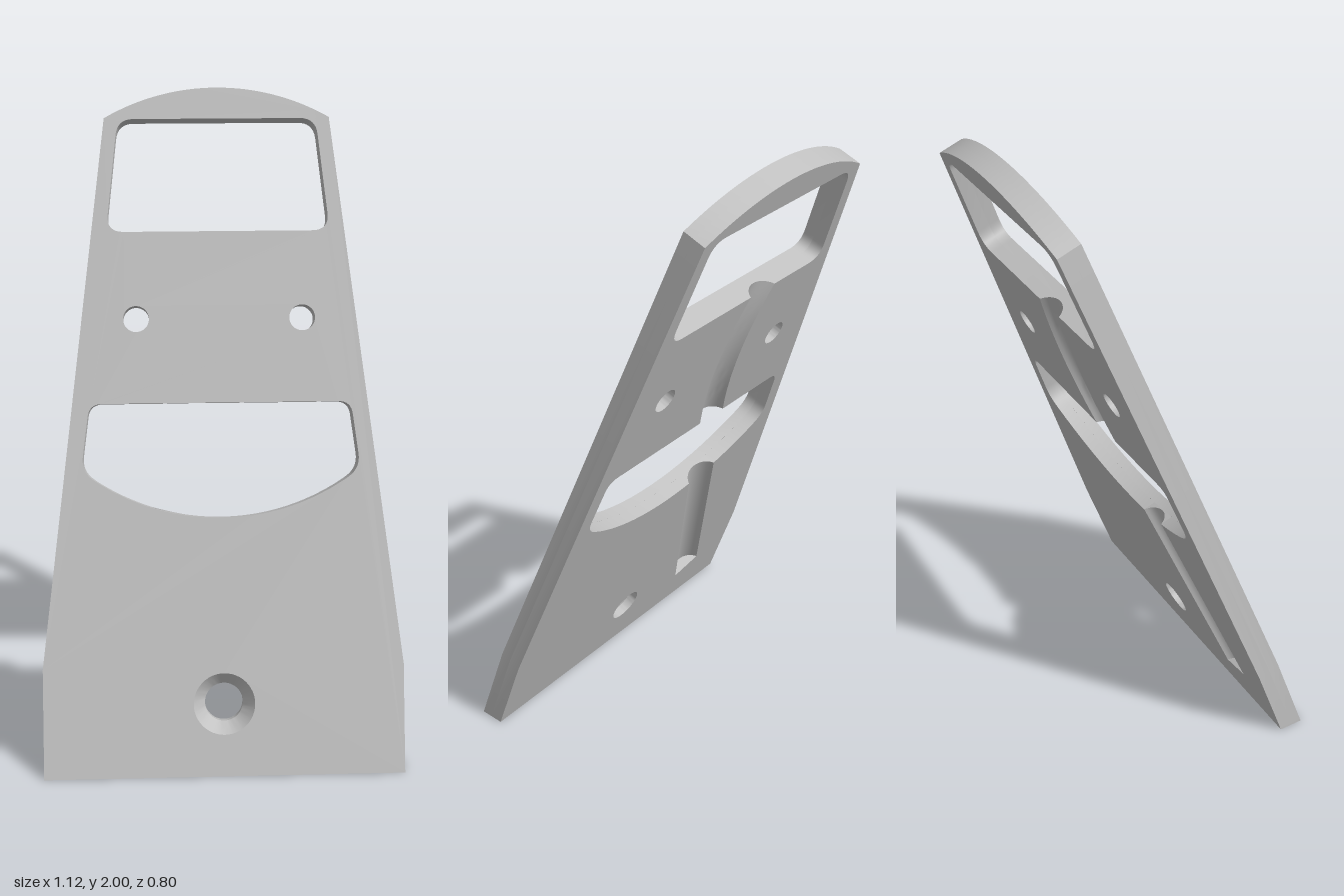
import * as THREE from 'three';
import { toCreasedNormals } from 'three/addons/utils/BufferGeometryUtils.js';

const TILT = THREE.MathUtils.degToRad(20);
const COS = Math.cos(TILT), TAN = Math.tan(TILT);
const T = 0.075;      // plate thickness
const BACK = 0.04;    // thickness of the grooved rear layer
const DEPTH = 0.037;  // groove depth
const HALF = 0.056;   // groove half width
const R = 0.7;        // radius of the top edge and of the lower window sill

const P = (x, y) => new THREE.Vector2(x, y);
const bow = (x) => R - Math.sqrt(R * R - x * x);

// Heights measured along the sloping plate
const V = { bend: 0.318 / COS, peak: 2 / COS, upTop: 1.91 / COS, upBot: 1.583 / COS,
  lowTop: 1.085 / COS, sill: 0.75 / COS, screw: 1.33 / COS, bolt: 0.21 / COS };
const sillY = (x) => V.sill + bow(x);

function sillPoints(x0, x1) {
  const out = [];
  for (let i = 0; i <= 16; i++) {
    const x = x0 + (x1 - x0) * i / 16;
    out.push([x, sillY(x)]);
  }
  return out;
}

// Corner list [x, y, radius] to points; corners with a radius are rounded
function rounded(list) {
  const out = [];
  list.forEach(([x, y, r], i) => {
    const c = P(x, y);
    if (!r) { out.push(c); return; }
    const a = list[(i + list.length - 1) % list.length], b = list[(i + 1) % list.length];
    const toward = (q) => {
      const d = P(q[0] - x, q[1] - y), len = d.length();
      return c.clone().addScaledVector(d, Math.min(r, len * 0.8) / len);
    };
    out.push(...new THREE.QuadraticBezierCurve(toward(a), c, toward(b)).getPoints(8));
  });
  return out;
}

// Groove paths as pairs of edge points [left, right], top to bottom
function upperGroove() {
  const rows = [];
  for (let i = 0; i <= 16; i++) {
    const u = i / 8 - 1;
    const x = -0.068 + 0.04 * (1 - u * u);
    const y = V.upBot + (V.lowTop - V.upBot) * i / 16;
    rows.push([P(x - HALF, y), P(x + HALF, y)]);
  }
  return rows;
}
function lowerGroove() {
  const top = P(-0.163, sillY(-0.163)), end = P(-0.352, 0.175);
  const d = end.clone().sub(top).normalize();
  const side = P(d.y, -d.x).multiplyScalar(HALF);
  const w = HALF / Math.abs(d.y);
  return [
    [P(top.x - w, sillY(top.x - w)), P(top.x + w, sillY(top.x + w))],
    [end.clone().add(side), end.clone().sub(side)],
  ];
}

// Concave groove bed swept through the edge pairs, with end walls down to the floor
function grooveBed(rows) {
  const N = 14, pos = [], index = [];
  const rad = (HALF * HALF + DEPTH * DEPTH) / (2 * DEPTH);
  const half = Math.asin(HALF / rad);
  const section = ([l, r], flat) => {
    const start = pos.length / 3;
    for (let k = 0; k <= N; k++) {
      const a = half * (2 * k / N - 1);
      const p = l.clone().lerp(r, (rad * Math.sin(a) / HALF + 1) / 2);
      pos.push(p.x, p.y, flat ? -T + BACK : -T + rad * Math.cos(a) - (rad - DEPTH));
    }
    return start;
  };
  const strip = (a, b) => {
    for (let k = 0; k < N; k++) index.push(a + k, a + k + 1, b + k, a + k + 1, b + k + 1, b + k);
  };
  const starts = rows.map((r) => section(r, false));
  for (let i = 1; i < starts.length; i++) strip(starts[i], starts[i - 1]);
  strip(starts[0], section(rows[0], true));
  const last = rows.length - 1;
  strip(section(rows[last], true), starts[last]);
  const g = new THREE.BufferGeometry();
  g.setAttribute('position', new THREE.Float32BufferAttribute(pos, 3));
  g.setIndex(index);
  return toCreasedNormals(g, 0.6);
}

// One layer of the plate, its foot trimmed level with the ground
function layer(windows, z, depth) {
  const pts = [P(-0.558, 0), P(0.558, 0), P(0.558, V.bend)];
  for (let i = 0; i <= 32; i++) {
    const x = 0.348 - 0.696 * i / 32;
    pts.push(P(x, V.peak - bow(x)));
  }
  pts.push(P(-0.558, V.bend));
  const shape = new THREE.Shape(pts);
  windows.forEach((w) => shape.holes.push(new THREE.Path(w)));
  for (const [x, y, r] of [[-0.257, V.screw, 0.04], [0.257, V.screw, 0.04], [0, V.bolt, 0.095]]) {
    shape.holes.push(new THREE.Path().absarc(x, y, r, 0, Math.PI * 2, true));
  }
  const g = new THREE.ExtrudeGeometry(shape, { depth, bevelEnabled: false, curveSegments: 24 });
  g.translate(0, 0, z);
  const p = g.attributes.position;
  for (let i = 0; i < p.count; i++) if (p.getY(i) < 0.001) p.setY(i, -p.getZ(i) * TAN);
  return toCreasedNormals(g, 0.5);
}

export function createModel() {
  const grey = new THREE.MeshStandardMaterial({ color: 0xc0c0c0, side: THREE.DoubleSide });
  grey.name = 'light grey';
  const model = new THREE.Group();
  model.name = 'slopingPlate';
  const add = (name, geometry) => {
    const m = new THREE.Mesh(geometry, grey);
    m.name = name;
    model.add(m);
    return m;
  };

  // Window outlines, counter-clockwise
  const upper = [[0.346, V.upBot, 0.055], [0.307, V.upTop, 0.05],
    [-0.307, V.upTop, 0.05], [-0.346, V.upBot, 0.055]];
  const lowLeft = [[-0.405, V.lowTop, 0.04], [-0.432, sillY(-0.432), 0.045]];
  const lowRight = [[0.432, sillY(0.432), 0.045], [0.405, V.lowTop, 0.04]];

  add('frontLayer', layer([
    rounded(upper),
    rounded([...lowLeft, ...sillPoints(-0.385, 0.385), ...lowRight]),
  ], -T + BACK, T - BACK));

  // Rear layer: windows and grooves form one continuous opening
  const g1 = upperGroove(), g2 = lowerGroove();
  const xy = (p) => [p.x, p.y];
  const opening = rounded([
    ...upper,
    ...g1.map((r) => xy(r[0])),
    ...lowLeft,
    ...sillPoints(-0.385, g2[0][0].x),
    xy(g2[1][0]), xy(g2[1][1]),
    ...sillPoints(g2[0][1].x, 0.385),
    ...lowRight,
    ...g1.map((r) => xy(r[1])).reverse(),
  ]);
  add('rearLayer', layer([opening], -T, BACK));
  add('upperGroove', grooveBed(g1));
  add('lowerGroove', grooveBed(g2));

  // Countersunk bolt hole
  const ring = [P(0.095, 0), P(0.059, -0.045), P(0.059, -T), P(0.095, -T)];
  const sink = toCreasedNormals(new THREE.LatheGeometry(ring, 48), 0.5);
  sink.rotateX(Math.PI / 2);
  add('countersink', sink).position.set(0, V.bolt, 0);

  model.rotation.x = -TILT;
  model.position.z = 0.399;
  const root = new THREE.Group();
  root.name = 'plate';
  root.add(model);
  return root;
}
